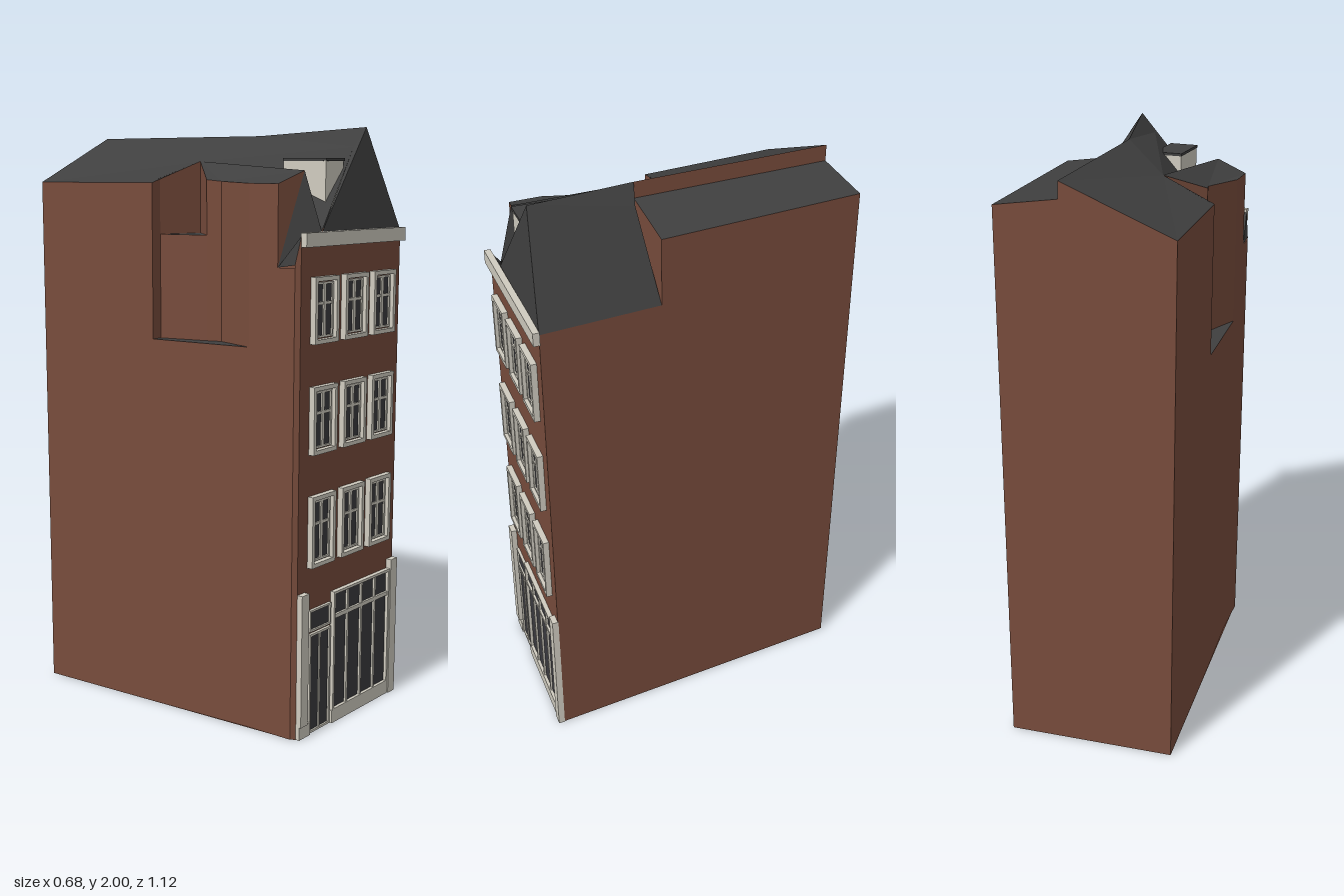
import * as THREE from 'three';

export function createModel() {
  const group = new THREE.Group();
  const mat = (name, color) => {
    const m = new THREE.MeshStandardMaterial({ color, flatShading: true, side: THREE.DoubleSide });
    m.name = name;
    return m;
  };
  const brick = mat('brick', 0x784c3c);
  const slate = mat('slate', 0x3f3f3f);
  const cream = mat('cream', 0xd0ccc0);
  const glass = mat('glass', 0x3a3a3e);

  // A mesh made of flat polygons, each a list of [x, y, z] corners
  const faces = (name, material, polys) => {
    const pos = [];
    for (const p of polys)
      for (let i = 1; i < p.length - 1; i++) pos.push(...p[0], ...p[i], ...p[i + 1]);
    const g = new THREE.BufferGeometry();
    g.setAttribute('position', new THREE.Float32BufferAttribute(pos, 3));
    g.computeVertexNormals();
    const mesh = new THREE.Mesh(g, material);
    mesh.name = name;
    group.add(mesh);
  };
  // Vertical wall between two plan points, with bottom and top heights at each
  const wall = (a, b, a0, a1, b0 = a0, b1 = a1) =>
    [[a[0], a0, a[1]], [b[0], b0, b[1]], [b[0], b1, b[1]], [a[0], a1, a[1]]];
  const at = (p, y) => [p[0], y, p[1]];

  // Plan points [x, z]
  const backL = [-0.34, -0.51], backR = [0.235, -0.565], stepR = [0.3, 0.135], frontR = [0.337, 0.54];
  const frontL = [-0.235, 0.54], chamfer = [-0.247, 0.525], sideL = [-0.25, 0.46];
  const wellA = [-0.295, -0.03], wellB = [-0.255, -0.03], wellC = [-0.215, 0.14];
  const wellD = [-0.2, 0.19], wellE = [-0.255, 0.35];
  const hub = [-0.1, 0.015], ridgeB = [0.025, -0.545], ridgeF = [0.07, 0.14];
  const wingF = [-0.14, 0.48], gableL = [-0.12, 0.535], saddle = [0.11, 0.495];
  const peak = [0.165, 0.508], valley = [0.125, 0.155];

  // Brick shell
  faces('brickWalls', brick, [
    wall(frontL, frontR, 0, 1.66),
    wall(frontL, chamfer, 0, 1.66, 0, 1.57),
    wall(chamfer, sideL, 0, 1.56),
    wall(frontR, stepR, 0, 1.66),
    wall(stepR, backR, 0, 1.885, 0, 1.89),
    [at(backL, 0), at(backR, 0), at(backR, 1.89), at(ridgeB, 1.92), at(ridgeB, 1.975), at(backL, 1.82)],
    wall(backL, wellA, 0, 1.82),
    wall(wellA, wellE, 0, 1.3),
    wall(wellE, sideL, 0, 1.82),
    [frontL, chamfer, sideL, backL, backR, frontR].map(p => at(p, 0)),
  ]);
  faces('roofStepWalls', brick, [
    wall(ridgeB, ridgeF, 1.92, 1.975),
    wall(stepR, ridgeF, 1.66, 1.885, 1.66, 1.92),
  ]);
  faces('lightWellWalls', brick, [
    wall(wellA, wellB, 1.3, 1.82, 1.3, 1.835),
    wall(wellB, wellC, 1.3, 1.65),
    wall(wellC, wellD, 1.3, 1.83, 1.3, 1.825),
    wall(wellD, wellE, 1.3, 1.825, 1.3, 1.82),
    wall(wellB, hub, 1.65, 1.835, 1.65, 1.89),
    wall(hub, wellC, 1.65, 1.89, 1.65, 1.83),
  ]);
  faces('lightWellFloors', slate, [
    [wellA, wellB, wellC, wellD, wellE].map(p => at(p, 1.3)),
    [at(wellB, 1.65), at(hub, 1.65), at(wellC, 1.65)],
  ]);

  // Rear roof, with its two slopes at different heights
  faces('rearRoof', slate, [
    [at(hub, 1.89), at(wellA, 1.82), at(backL, 1.82), at(ridgeB, 1.975), at(ridgeF, 1.975)],
    [at(ridgeB, 1.92), at(backR, 1.89), at(stepR, 1.885), at(ridgeF, 1.92)],
  ]);

  // Side wing roof and its triangular brick front
  faces('wingRoof', slate, [
    [at(wellD, 1.825), at(wellE, 1.82), at(sideL, 1.82), at(wingF, 1.86)],
    [at(hub, 1.89), at(wellC, 1.83), at(wellD, 1.825), at(wingF, 1.86)],
    [at(hub, 1.89), at(wingF, 1.86), at(gableL, 1.67)],
    [at(sideL, 1.56), at(wingF, 1.86), at(gableL, 1.67), at(frontL, 1.66), at(chamfer, 1.57)],
  ]);
  faces('wingFront', brick, [[at(sideL, 1.56), at(sideL, 1.82), at(wingF, 1.86)]]);

  // Front roof with its pointed face
  faces('frontRoof', slate, [
    [at(gableL, 1.665), at(frontR, 1.66), at(peak, 2), at(saddle, 1.936)],
    [at(hub, 1.89), at(gableL, 1.67), at(saddle, 1.936), at(ridgeF, 1.975)],
    [at(ridgeF, 1.975), at(saddle, 1.936), at(peak, 2), at(valley, 1.92)],
    [at(peak, 2), at(frontR, 1.66), at(stepR, 1.66)],
    [at(peak, 2), at(stepR, 1.66), at(valley, 1.92)],
  ]);

  // Box given by its extents
  const box = (name, material, x0, x1, y0, y1, z0, z1, parent = group) => {
    const m = new THREE.Mesh(new THREE.BoxGeometry(x1 - x0, y1 - y0, z1 - z0), material);
    m.position.set((x0 + x1) / 2, (y0 + y1) / 2, (z0 + z1) / 2);
    m.name = name;
    parent.add(m);
  };

  // Dormer
  box('dormerBody', cream, -0.05, 0.048, 1.74, 1.89, 0.33, 0.498);
  box('dormerRoof', slate, -0.052, 0.05, 1.89, 1.899, 0.328, 0.502);

  // Cornice
  box('cornice', cream, -0.235, 0.34, 1.625, 1.67, 0.538, 0.56);

  // Rectangular frame cut from a plate
  const frame = (name, material, x0, x1, y0, y1, t, z0, z1, parent) => {
    const rect = (P, a, b, c, d) => {
      const s = new P();
      s.moveTo(a, c); s.lineTo(b, c); s.lineTo(b, d); s.lineTo(a, d); s.closePath();
      return s;
    };
    const shape = rect(THREE.Shape, x0, x1, y0, y1);
    shape.holes.push(rect(THREE.Path, x0 + t, x1 - t, y0 + t, y1 - t));
    const m = new THREE.Mesh(new THREE.ExtrudeGeometry(shape, { depth: z1 - z0, bevelEnabled: false }), material);
    m.position.z = z0;
    m.name = name;
    parent.add(m);
  };

  // Sash windows: three storeys of three
  for (const [y0, y1] of [[0.58, 0.82], [0.958, 1.18], [1.317, 1.53]])
    for (const x0 of [-0.182, -0.012, 0.155]) {
      const w = new THREE.Group();
      w.name = 'sashWindow';
      group.add(w);
      const x1 = x0 + 0.132, xm = (x0 + x1) / 2, yt = y1 - (y1 - y0) * 0.4;
      frame('outerFrame', cream, x0, x1, y0, y1, 0.014, 0.54, 0.56, w);
      box('reveal', brick, x0 + 0.013, x1 - 0.013, y0 + 0.013, y1 - 0.013, 0.539, 0.542, w);
      box('pane', glass, x0 + 0.022, x1 - 0.022, y0 + 0.022, y1 - 0.022, 0.54, 0.544, w);
      frame('sash', cream, x0 + 0.018, x1 - 0.018, y0 + 0.018, y1 - 0.018, 0.007, 0.541, 0.549, w);
      box('mullion', cream, xm - 0.007, xm + 0.007, y0 + 0.02, y1 - 0.02, 0.541, 0.549, w);
      box('transom', cream, x0 + 0.02, x1 - 0.02, yt - 0.005, yt + 0.005, 0.541, 0.548, w);
    }

  // Shopfront surround
  box('leftPilaster', cream, -0.235, -0.195, 0.045, 0.5, 0.538, 0.56);
  box('rightPilaster', cream, 0.3, 0.34, 0, 0.5, 0.538, 0.56);
  box('leftPlinth', cream, -0.235, -0.172, 0, 0.045, 0.538, 0.554);
  box('shopPlinth', cream, -0.05, 0.3, 0, 0.045, 0.538, 0.556);

  // Shop window
  frame('shopFrame', cream, -0.045, 0.3, 0.04, 0.467, 0.009, 0.54, 0.556, group);
  box('shopGlass', glass, -0.037, 0.292, 0.047, 0.46, 0.539, 0.545);
  box('shopTransom', cream, -0.037, 0.292, 0.371, 0.385, 0.54, 0.553);
  for (let i = 1; i < 4; i++) {
    const x = -0.04 + i * 0.084;
    box('shopMullion', cream, x - 0.005, x + 0.005, 0.047, 0.46, 0.54, 0.552);
  }

  // Double door with a light above
  frame('doorFrame', cream, -0.174, -0.054, 0.002, 0.35, 0.008, 0.54, 0.55, group);
  box('doorGlass', glass, -0.167, -0.061, 0.008, 0.343, 0.539, 0.544);
  box('doorMeetingBar', cream, -0.118, -0.11, 0.008, 0.343, 0.54, 0.548);
  frame('fanlightFrame', cream, -0.174, -0.054, 0.358, 0.433, 0.007, 0.54, 0.55, group);
  box('fanlightGlass', glass, -0.168, -0.06, 0.364, 0.427, 0.539, 0.544);

  return group;
}
